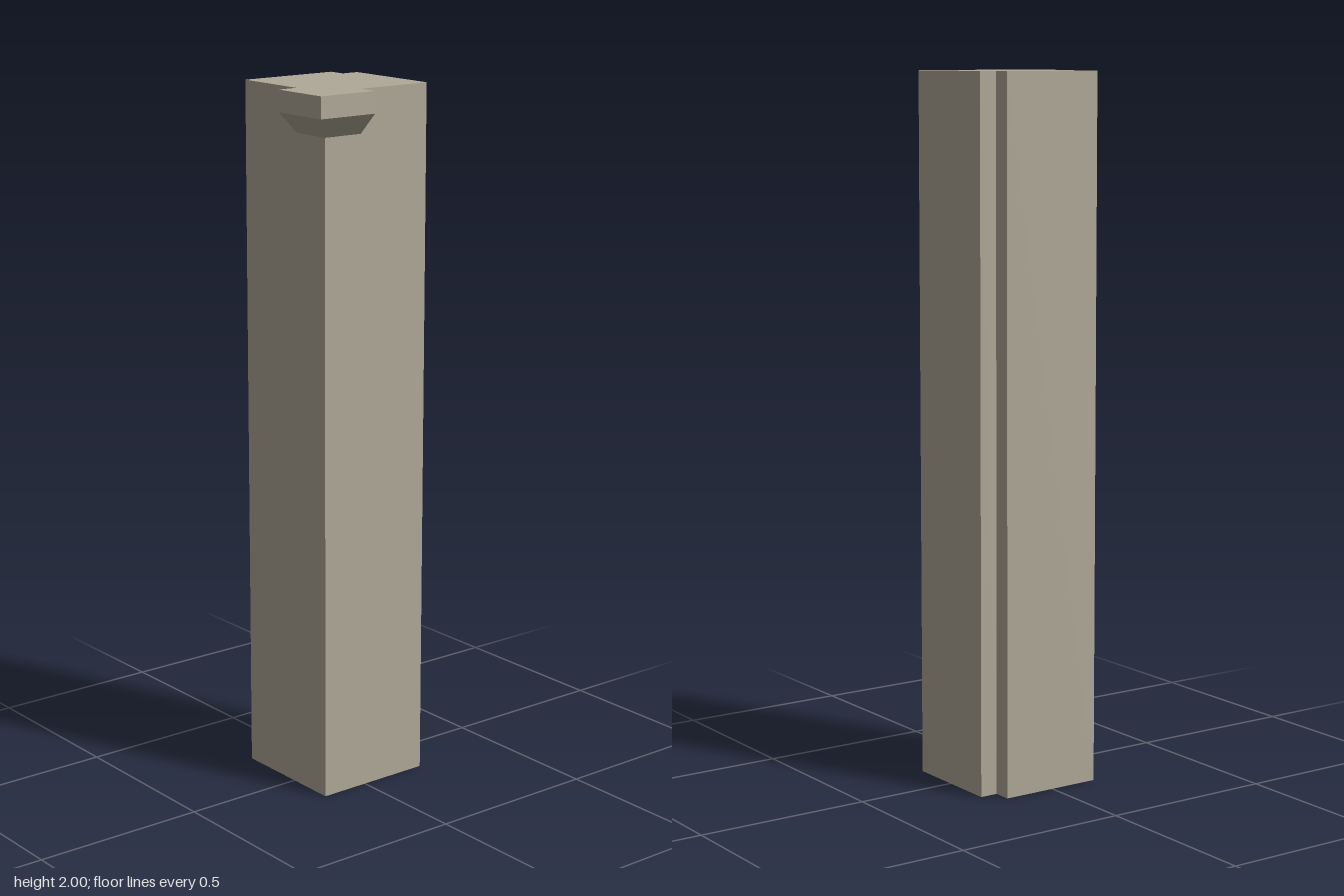
import * as THREE from 'three';

const stone = new THREE.MeshStandardMaterial({ color: 0xb0a998 });
stone.name = 'warmStone';

// Extrudes a plan outline of [x, z] points upwards from y0 to y1
function extrudePlan(points, y0, y1, steps = 1) {
  const shape = new THREE.Shape(points.map(([x, z]) => new THREE.Vector2(x, -z)));
  const geometry = new THREE.ExtrudeGeometry(shape, { depth: y1 - y0, steps, bevelEnabled: false });
  return geometry.rotateX(-Math.PI / 2).translate(0, y0, 0);
}

export function createModel() {
  const group = new THREE.Group();
  group.name = 'cornerPost';

  const back = -0.207, face = 0.145, notch = -0.155;
  const inner = 0.023, outer = 0.205;
  const top = 2, bottom = 1.88;

  // Tall square post with a full-height notch in its back corner
  const post = new THREE.Mesh(extrudePlan([
    [back, notch], [notch, notch], [notch, back],
    [face, back], [face, face], [back, face],
  ], 0, top), stone);
  post.name = 'post';

  // L-shaped corbel around the front corner
  const corbelGeometry = extrudePlan([
    [inner, face], [face, face], [face, inner],
    [outer, inner], [outer, outer], [inner, outer],
  ], bottom, top, 2);

  // Slope its lower half in to meet the post faces
  const p = corbelGeometry.attributes.position;
  for (let i = 0; i < p.count; i++) {
    if (p.getY(i) < bottom + 0.01) {
      p.setX(i, Math.min(p.getX(i), face));
      p.setZ(i, Math.min(p.getZ(i), face));
    }
  }
  corbelGeometry.computeVertexNormals();
  const corbel = new THREE.Mesh(corbelGeometry, stone);
  corbel.name = 'cornerCorbel';

  group.add(post, corbel);
  return group;
}
